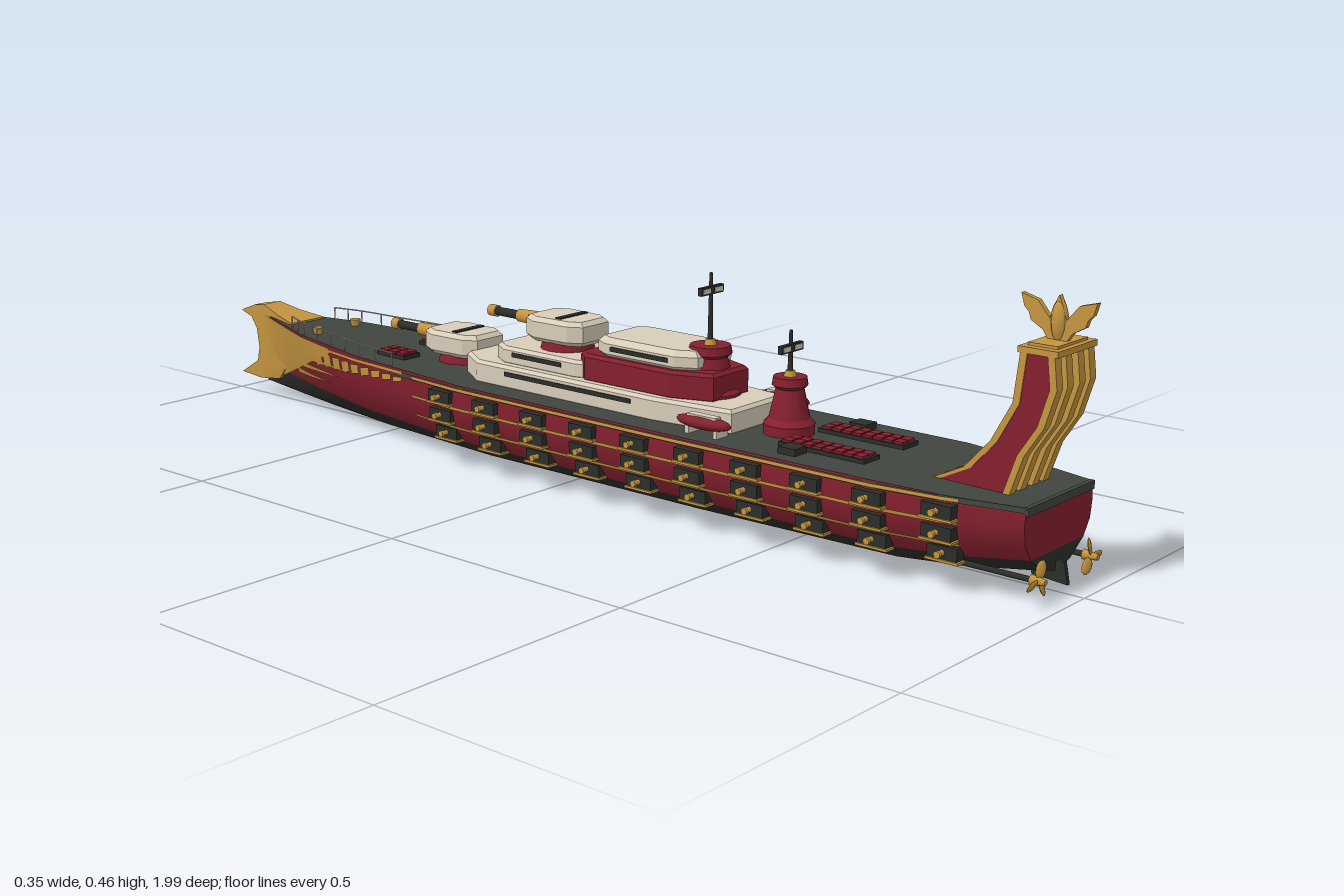
import * as THREE from 'three';
import { toCreasedNormals } from 'three/addons/utils/BufferGeometryUtils.js';

const mat = (name, color, side = THREE.FrontSide) => new THREE.MeshStandardMaterial({ name, color, side });
const red = mat('crimson', 0x84202e), gold = mat('gold', 0xc4953f), cream = mat('cream', 0xd8cdb9);
const deckGrey = mat('deck grey', 0x41453f), dark = mat('gunmetal', 0x2c2e2a);

// Hull stations from stern to bow: z, half width, deck height, keel height, bow sharpness
const stations = [
  [0.95, 0.1, 0.155, 0.035, 0], [0.82, 0.128, 0.157, 0.015, 0], [0.7, 0.142, 0.16, 0.004, 0],
  [0.3, 0.146, 0.16, 0, 0], [-0.2, 0.143, 0.16, 0, 0], [-0.5, 0.118, 0.164, 0.003, 0.35],
  [-0.7, 0.083, 0.17, 0.012, 0.7], [-0.8, 0.05, 0.173, 0.02, 0.9], [-0.91, 0.012, 0.178, 0.03, 1]];
const midX = [1, 1.03, 0.98, 0.8, 0.42, 0.1], bowX = [1, 0.84, 0.66, 0.45, 0.22, 0.04];
const levelY = [1, 0.75, 0.5, 0.28, 0.07, 0];
const lerp = THREE.MathUtils.lerp;

function section(z) {
  let i = 0;
  while (i < stations.length - 2 && z < stations[i + 1][0]) i++;
  const a = stations[i], b = stations[i + 1], t = (z - a[0]) / (b[0] - a[0]);
  const [w, top, keel, bow] = [1, 2, 3, 4].map(k => lerp(a[k], b[k], t));
  return levelY.map((f, k) => [w * lerp(midX[k], bowX[k], bow), lerp(keel, top, f), z]);
}
function hullX(z, y) {
  const s = section(z);
  for (let k = 0; k < 5; k++) {
    if (y >= s[k + 1][1]) return lerp(s[k + 1][0], s[k][0], Math.min(1, (y - s[k + 1][1]) / (s[k][1] - s[k + 1][1])));
  }
  return 0;
}

export function createModel() {
  const ship = new THREE.Group();
  ship.name = 'warship';
  const add = (name, geo, m, x = 0, y = 0, z = 0) => {
    const mesh = new THREE.Mesh(geo, m);
    mesh.name = name;
    mesh.position.set(x, y, z);
    ship.add(mesh);
    return mesh;
  };
  const box = (name, m, w, h, d, x, y, z) => add(name, new THREE.BoxGeometry(w, h, d), m, x, y, z);
  const cyl = (name, m, r1, r2, h, x, y, z, n = 12) => add(name, new THREE.CylinderGeometry(r1, r2, h, n), m, x, y, z);

  // Surface through rows of points
  const grid = (name, rows, m) => {
    const n = rows[0].length, index = [];
    for (let r = 0; r < rows.length - 1; r++) for (let c = 0; c < n - 1; c++) {
      const a = r * n + c, d = a + n;
      index.push(a, a + 1, d, a + 1, d + 1, d);
    }
    const geo = new THREE.BufferGeometry();
    geo.setAttribute('position', new THREE.Float32BufferAttribute(rows.flat(2), 3));
    geo.setIndex(index);
    return add(name, toCreasedNormals(geo, 0.5), m);
  };
  // Thin plate following both hull sides, between two height rules
  const hullPatch = (name, z0, z1, top, bottom, m, out = 0.003, n = 24) => {
    for (const s of [1, -1]) {
      const rows = [];
      for (let i = 0; i <= n; i++) {
        const z = lerp(z0, z1, i / n), t = i / n;
        rows.push([0, 1, 2, 3].map(k => {
          const y = lerp(top(t), bottom(t), k / 3);
          return [s * (hullX(z, y) + out), y, z];
        }));
      }
      grid(name, s > 0 ? rows : rows.reverse(), m);
    }
  };
  // Bevelled plan-shaped block from [z, half width] pairs
  const slab = (name, m, plan, y0, y1, bevel = 0.006) => {
    const pts = [...plan.map(([z, w]) => [w - bevel, -z]), ...plan.slice().reverse().map(([z, w]) => [bevel - w, -z])];
    const geo = new THREE.ExtrudeGeometry(new THREE.Shape(pts.map(p => new THREE.Vector2(...p))),
      { depth: y1 - y0 - 2 * bevel, bevelEnabled: true, bevelSize: bevel, bevelThickness: bevel, bevelSegments: 1 });
    geo.rotateX(-Math.PI / 2).translate(0, y0 + bevel, 0);
    return add(name, geo, m);
  };
  // Side profile of [z, y] points, given a thickness along x
  const profile = (pts, width) => new THREE.ExtrudeGeometry(
    new THREE.Shape(pts.map(p => new THREE.Vector2(...p))), { depth: width, bevelEnabled: false })
    .translate(0, 0, -width / 2).rotateY(-Math.PI / 2);

  // Hull skin, bottom, deck and transom
  const half = stations.map(s => section(s[0]));
  const mirror = p => [-p[0], p[1], p[2]];
  grid('hullSideLeft', half.map(s => s.slice(0, 4)), red);
  grid('hullSideRight', half.map(s => s.slice(0, 4).map(mirror).reverse()), red);
  grid('hullBottom', half.map(s => [...s.slice(3), ...s.slice(3).map(mirror).reverse()]), dark);
  grid('deck', half.map(s => [mirror(s[0]), s[0]]), deckGrey);
  grid('transom', [half[0].slice(0, 4).map(mirror), half[0].slice(0, 4)], red);
  grid('transomBottom', [half[0].slice(3).map(mirror), half[0].slice(3)], dark);
  box('transomRim', deckGrey, 0.2, 0.014, 0.008, 0, 0.149, 0.95);
  hullPatch('deckEdge', 0.949, -0.4, () => 0.157, () => 0.148, deckGrey, 0.002, 40);

  // Gold bands and broadside guns
  for (const y of [0.153, 0.118, 0.08]) hullPatch('goldBand', 0.85, -0.33, () => y + 0.003, () => y - 0.003, gold, 0.005, 40);
  for (const s of [1, -1]) for (const y of [0.135, 0.1, 0.063]) for (let i = 0; i < 10; i++) {
    const z = 0.82 - i * 0.118, x = hullX(z, y);
    box('gunPort', dark, 0.02, 0.021, 0.054, s * (x + 0.002), y, z);
    box('gunPortSill', gold, 0.022, 0.004, 0.06, s * (x + 0.003), y - 0.013, z);
    cyl('broadsideBarrel', gold, 0.004, 0.006, 0.026, s * (x + 0.014), y, z, 8).rotation.z = -s * Math.PI / 2;
    cyl('broadsideMuzzle', gold, 0.006, 0.006, 0.006, s * (x + 0.024), y, z, 8).rotation.z = Math.PI / 2;
  }

  // Armoured prow with upper horn and lower ram
  const prow = profile([[-0.78, 0.176], [-0.84, 0.185], [-0.89, 0.197], [-0.93, 0.19], [-0.985, 0.17], [-0.945, 0.162],
    [-0.925, 0.14], [-0.92, 0.1], [-0.93, 0.07], [-0.99, 0.036], [-0.92, 0.034], [-0.85, 0.045], [-0.81, 0.085], [-0.78, 0.14]], 1);
  const pp = prow.attributes.position;
  for (let i = 0; i < pp.count; i++) {
    const z = pp.getZ(i), y = pp.getY(i);
    const w = Math.max(0.002, (z + 0.99) * 0.2) * Math.min(1, 0.5 + y * 3.2) + 0.002;
    pp.setX(i, Math.sign(pp.getX(i)) * w);
  }
  prow.computeVertexNormals();
  add('prow', prow, gold);
  hullPatch('prowCheek', -0.6, -0.9, t => lerp(0.162, 0.177, t), t => lerp(0.15, 0.045, Math.min(1, t * 1.15)), gold, 0.004);
  // Feathered gold sweep behind the prow
  hullPatch('featherTop', -0.36, -0.68, () => 0.16, () => 0.153, gold, 0.004);
  for (let i = 0; i < 9; i++) {
    const z = -0.36 - i * 0.034;
    hullPatch('feather', z, z - 0.028, t => 0.149 - t * 0.004, t => 0.141 - i * 0.0025 - t * 0.006, gold, 0.004, 3);
  }
  for (let i = 0; i < 3; i++) {
    hullPatch('longFeather', -0.5 - i * 0.05, -0.76, t => 0.125 - i * 0.02 + t * 0.006, t => 0.125 - i * 0.02 - t * 0.008, gold, 0.004, 10);
  }

  // Tiered superstructure
  slab('lowerDeckhouse', cream, [[-0.26, 0.055], [-0.2, 0.093], [0.22, 0.093], [0.37, 0.075]], 0.155, 0.2);
  slab('upperDeckhouse', cream, [[-0.18, 0.055], [-0.15, 0.073], [0.02, 0.073], [0.06, 0.06]], 0.195, 0.23);
  slab('bridgeBase', red, [[0.03, 0.06], [0.05, 0.075], [0.24, 0.075], [0.31, 0.05]], 0.195, 0.247);
  slab('bridge', cream, [[0.07, 0.055], [0.09, 0.066], [0.24, 0.066], [0.27, 0.05]], 0.242, 0.28, 0.01);
  for (const s of [1, -1]) {
    box('lowerWindows', dark, 0.004, 0.008, 0.3, s * 0.093, 0.185, 0.02);
    box('upperWindows', dark, 0.004, 0.008, 0.12, s * 0.073, 0.217, -0.07);
    box('bridgeWindows', dark, 0.004, 0.008, 0.13, s * 0.066, 0.262, 0.165);
  }
  box('bridgeFrontWindow', dark, 0.09, 0.008, 0.004, 0, 0.262, 0.069);

  // Main turrets
  const turret = (z, y) => {
    cyl('turretRing', red, 0.045, 0.05, 0.018, 0, y + 0.006, z, 16);
    slab('turret', cream, [[z - 0.06, 0.04], [z - 0.035, 0.053], [z + 0.04, 0.05], [z + 0.06, 0.038]], y + 0.012, y + 0.057, 0.008);
    box('turretSlit', dark, 0.075, 0.005, 0.012, 0, y + 0.057, z + 0.01);
    box('mantlet', red, 0.05, 0.03, 0.02, 0, y + 0.036, z - 0.065);
    cyl('barrelSleeve', gold, 0.012, 0.014, 0.05, 0, y + 0.04, z - 0.095).rotation.x = -Math.PI / 2;
    cyl('barrel', dark, 0.008, 0.009, 0.13, 0, y + 0.04, z - 0.125).rotation.x = -Math.PI / 2;
    cyl('muzzle', gold, 0.011, 0.011, 0.018, 0, y + 0.04, z - 0.185).rotation.x = -Math.PI / 2;
  };
  turret(-0.325, 0.168);
  turret(-0.06, 0.232);

  // Conical towers with masts and antennas
  const tower = (z, y, r, h, mastTop) => {
    const pts = [[r, 0], [r, h * 0.2], [r * 0.8, h * 0.3], [r * 0.55, h * 0.8], [r * 0.7, h * 0.86], [r * 0.65, h], [0, h]];
    add('tower', toCreasedNormals(new THREE.LatheGeometry(pts.map(p => new THREE.Vector2(...p)), 16), 0.4), red, 0, y, z);
    const top = y + h;
    cyl('mast', dark, 0.003, 0.005, mastTop - top, 0, (top + mastTop) / 2, z, 8);
    cyl('mastCollar', gold, 0.008, 0.012, 0.012, 0, top + 0.004, z, 8);
    box('antenna', dark, 0.06, 0.014, 0.008, 0, mastTop - 0.03, z);
    for (const s of [1, -1]) box('antennaPanel', cream, 0.02, 0.008, 0.01, s * 0.016, mastTop - 0.03, z);
  };
  tower(0.27, 0.185, 0.055, 0.1, 0.41);
  tower(0.44, 0.157, 0.044, 0.1, 0.335);

  // Lifeboats, hatches, bollards and bow railings
  for (const s of [1, -1]) {
    const boat = add('lifeboat', new THREE.SphereGeometry(1, 12, 8), red, s * 0.11, 0.182, 0.345);
    boat.scale.set(0.018, 0.012, 0.058);
    box('lifeboatCover', cream, 0.016, 0.006, 0.06, s * 0.11, 0.192, 0.345);
    for (const z of [0.315, 0.375]) box('davit', cream, 0.03, 0.018, 0.008, s * 0.103, 0.166, z);
    box('hatchFrame', dark, 0.044, 0.008, 0.17, s * 0.056, 0.163, 0.56);
    box('foreHatchFrame', dark, 0.042, 0.008, 0.075, s * 0.056, 0.167, -0.45);
    for (let i = 0; i < 8; i++) for (const k of [-1, 1]) box('hatch', red, 0.018, 0.008, 0.017, s * 0.056 + k * 0.0098, 0.167, 0.489 + i * 0.0203);
    for (let i = 0; i < 3; i++) for (const k of [-1, 1]) box('foreHatch', red, 0.017, 0.008, 0.02, s * 0.056 + k * 0.0095, 0.171, -0.473 + i * 0.023);
    box('deckLocker', dark, 0.032, 0.014, 0.034, s * 0.1, 0.165, 0.52);
    cyl('bollard', gold, 0.011, 0.008, 0.016, s * 0.05, 0.175, -0.69, 8);
    const rail = new THREE.CatmullRomCurve3([-0.4, -0.5, -0.6, -0.7, -0.76].map(z =>
      new THREE.Vector3(s * (section(z)[0][0] - 0.006), section(z)[0][1] + 0.024, z)));
    add('railing', new THREE.TubeGeometry(rail, 16, 0.0014, 5), cream);
    for (let i = 0; i <= 8; i++) {
      const p = rail.getPoint(i / 8);
      cyl('railingPost', cream, 0.0014, 0.0014, 0.024, p.x, p.y - 0.012, p.z, 5);
    }
  }

  // Curved stern ribs with gilded edges
  const outer = [[0.955, 0.387], [0.962, 0.33], [0.944, 0.27], [0.912, 0.22], [0.89, 0.155]];
  const inner = [[0.76, 0.155], [0.82, 0.185], [0.865, 0.235], [0.9, 0.3], [0.91, 0.387]];
  const band = e => [...e.map(([z, y]) => [z + 0.006, y]), ...e.slice().reverse().map(([z, y]) => [z - 0.006, y])];
  for (const x of [-0.05, -0.018, 0.018, 0.05]) {
    add('sternRib', profile([...outer, ...inner], 0.013), red, x);
    add('ribOuterEdge', profile(band(outer), 0.018), gold, x);
    add('ribInnerEdge', profile(band(inner), 0.016), gold, x);
  }
  box('ribCap', gold, 0.118, 0.01, 0.068, 0, 0.384, 0.933);
  box('ribCapTop', gold, 0.09, 0.005, 0.05, 0, 0.391, 0.933);

  // Winged finial
  const wing = [[0, 0.462], [0.008, 0.445], [0.014, 0.425], [0.035, 0.45], [0.064, 0.458], [0.058, 0.438], [0.05, 0.43], [0.046, 0.418], [0.025, 0.406], [0.014, 0.39]];
  add('finialWings', profile([...wing, ...wing.slice(1).reverse().map(([z, y]) => [-z, y])], 0.01), gold, 0, 0, 0.934);
  add('finialBody', new THREE.SphereGeometry(1, 10, 8), gold, 0, 0.422, 0.934).scale.set(0.012, 0.034, 0.014);

  // Rudder and propellers
  add('rudder', profile([[0.9, 0.055], [0.965, 0.05], [0.972, 0.015], [0.91, 0.02]], 0.008), dark);
  for (const s of [1, -1]) {
    cyl('propellerShaft', dark, 0.005, 0.005, 0.14, s * 0.08, 0.04, 0.895, 8).rotation.x = Math.PI / 2;
    cyl('propellerHub', gold, 0.005, 0.009, 0.025, s * 0.08, 0.04, 0.965, 8).rotation.x = Math.PI / 2;
    for (let i = 0; i < 3; i++) {
      const a = s * (0.35 + i * Math.PI * 2 / 3);
      const blade = add('propellerBlade', new THREE.SphereGeometry(1, 8, 6), gold, s * 0.08 - Math.sin(a) * 0.018, 0.04 + Math.cos(a) * 0.018, 0.965);
      blade.scale.set(0.01, 0.015, 0.003);
      blade.rotation.set(0, 0.4 * s, a, 'ZYX');
    }
  }
  return ship;
}
